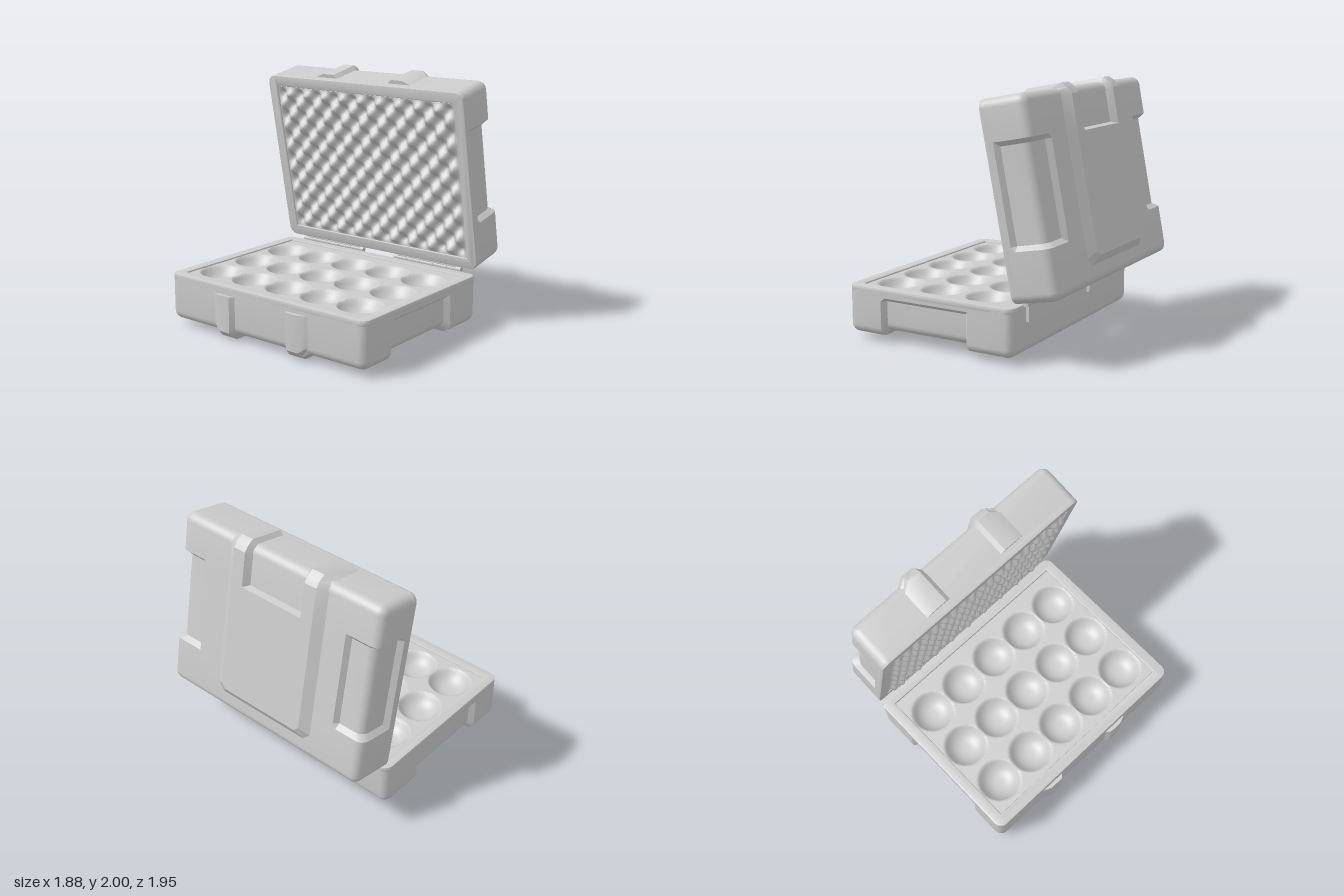
import * as THREE from 'three';
import { toCreasedNormals } from 'three/addons/utils/BufferGeometryUtils.js';

const LEN = 1.47, HALF = 0.975, DEEP = 0.38, R = 0.07; // hinge-to-front, half width, depth, edge radius
const material = new THREE.MeshStandardMaterial({ color: 0xcccccc });

function add(parent, name, geometry) {
  const mesh = new THREE.Mesh(geometry, material);
  mesh.name = name;
  parent.add(mesh);
  return mesh;
}

// Skins closed rings of [x, y, z], caps both ends and turns the faces outward.
function loft(rings, closed = true, crease = 0.5) {
  const n = rings[0].length, tris = [];
  const last = rings.length - 1;
  for (let i = 0; i < last; i++) {
    for (let j = 0; j < (closed ? n : n - 1); j++) {
      const k = (j + 1) % n;
      const a = rings[i][j], b = rings[i][k], c = rings[i + 1][k], d = rings[i + 1][j];
      tris.push([a, b, c], [a, c, d]);
    }
  }
  for (let j = 1; j < n - 1; j++) {
    tris.push([rings[0][0], rings[0][j + 1], rings[0][j]]);
    tris.push([rings[last][0], rings[last][j], rings[last][j + 1]]);
  }
  let volume = 0;
  for (const [a, b, c] of tris) {
    volume += a[0] * (b[1] * c[2] - b[2] * c[1]) + a[1] * (b[2] * c[0] - b[0] * c[2]) + a[2] * (b[0] * c[1] - b[1] * c[0]);
  }
  if (volume < 0) tris.forEach((t) => t.reverse());
  const geometry = new THREE.BufferGeometry();
  geometry.setAttribute('position', new THREE.Float32BufferAttribute(tris.flat(2), 3));
  return toCreasedNormals(geometry, crease);
}

// One shell cross-section: e is the inset at rounded ends, d the depth of the side recess.
function shellRing(u, e, d) {
  const w = HALF - e, v = DEEP - e, r = R - e;
  const half = [[w, 0.03], [w, 0.07], [w - d, 0.1]];
  for (let i = 0; i <= 6; i++) {
    const t = (i / 6) * Math.PI / 2;
    half.push([w - d - r + r * Math.cos(t), v - d - r + r * Math.sin(t)]);
  }
  half.push([0.72, v - d], [0.69, v]);
  const mirrored = half.map(([z, y]) => [-z, y]).reverse();
  return [...half, ...mirrored].map(([z, y]) => [-u, -y, z]);
}

function shellGeometry() {
  const ends = [];
  for (let i = 0; i <= 6; i++) {
    const t = (i / 6) * Math.PI / 2;
    ends.push([R - R * Math.cos(t), R - R * Math.sin(t)]);
  }
  const rings = ends.map(([u, e]) => shellRing(u, e, 0));
  rings.push(shellRing(0.38, 0, 0), shellRing(0.415, 0, 0.04), shellRing(1.125, 0, 0.04), shellRing(1.16, 0, 0));
  ends.reverse().forEach(([u, e]) => rings.push(shellRing(LEN - u, e, 0)));
  return loft(rings, false);
}

// Flat frame around the opening
function rimGeometry() {
  const shape = new THREE.Shape();
  shape.absarc(-R, HALF - R, R, 0, Math.PI / 2);
  shape.absarc(-LEN + R, HALF - R, R, Math.PI / 2, Math.PI);
  shape.absarc(-LEN + R, -HALF + R, R, Math.PI, Math.PI * 1.5);
  shape.absarc(-R, -HALF + R, R, Math.PI * 1.5, Math.PI * 2);
  const hole = new THREE.Path();
  hole.moveTo(-0.09, -0.885).lineTo(-1.38, -0.885).lineTo(-1.38, 0.885).lineTo(-0.09, 0.885).closePath();
  shape.holes.push(hole);
  const geometry = new THREE.ExtrudeGeometry(shape, {
    depth: 0.034, bevelThickness: 0.008, bevelSize: 0.008, bevelOffset: -0.008, bevelSegments: 2, curveSegments: 6,
  });
  geometry.rotateX(-Math.PI / 2).translate(0, -0.042, 0);
  return toCreasedNormals(geometry, 0.5);
}

// Horizontal sheet filling the opening, with its height set by a rule
function sheetGeometry(nx, nz, height) {
  const geometry = new THREE.PlaneGeometry(1.286, 1.766, nx, nz);
  geometry.rotateX(-Math.PI / 2).translate(-0.735, 0, 0);
  const p = geometry.attributes.position;
  for (let i = 0; i < p.count; i++) p.setY(i, height(p.getX(i), p.getZ(i)));
  geometry.computeVertexNormals();
  return geometry;
}

// Three by five round bowls
function bowlHeight(x, z) {
  const col = THREE.MathUtils.clamp(Math.round((x + 0.76) / 0.405), -1, 1);
  const row = THREE.MathUtils.clamp(Math.round(z / 0.35), -2, 2);
  const d = Math.hypot(x + 0.76 - col * 0.405, z - row * 0.35) / 0.172;
  return -0.012 - (d < 1 ? 0.1 * (1 - d ** 3) : 0);
}

// Staggered pointed foam bumps
function foamHeight(x, z) {
  const edge = Math.min(0.643 - Math.abs(x + 0.735), 0.883 - Math.abs(z));
  const fade = Math.min(1, edge / 0.05);
  return -0.01 + fade * (0.004 + 0.046 * Math.cos(Math.PI * (x + 0.735) / 0.098) * Math.cos(Math.PI * z / 0.093));
}

// Raised panel with bevelled sides and clipped corners
function panelGeometry(zc) {
  const outline = (u0, u1, hz, c, v) => [
    [u1, -hz], [u0 + c, -hz], [u0, -hz + c], [u0, hz - c], [u0 + c, hz], [u1, hz],
  ].map(([u, z]) => [-u, -v, z + zc]);
  return loft([outline(0.14, 1.15, 0.485, 0.06, 0.375), outline(0.21, 1.13, 0.4, 0.04, 0.43)], true, 0.3);
}

// Strap running on from the panel, over the front edge and down the front wall
function strapGeometry(side, zc) {
  const outer = [[1.13, 0.43], [1.41, 0.43], [1.46, 0.405], [1.5, 0.36], [1.5, 0.07]];
  const inner = [[1.13, 0.375], [1.39, 0.375], [1.445, 0.355], [1.465, 0.3], [1.465, 0.07]];
  const rings = outer.map(([u, v], i) => {
    const [bu, bv] = inner[i];
    return [[bu, bv, 0.25], [u, v, 0.29], [u, v, 0.4], [bu, bv, 0.485]].map(([a, b, z]) => [-a, -b, side * z + zc]);
  });
  return loft(rings, true, 0.45);
}

// Half of the case: hinge edge at the origin, opening facing up
function createHalf(name, zc) {
  const half = new THREE.Group();
  half.name = name;
  add(half, 'shell', shellGeometry());
  add(half, 'rim', rimGeometry());
  add(half, 'raisedPanel', panelGeometry(zc));
  for (const side of [-1, 1]) {
    add(half, 'frontStrap', strapGeometry(side, zc));
    add(half, 'hingeLeaf', new THREE.BoxGeometry(0.025, 0.135, 0.575)).position.set(0.0125, -0.0675, side * 0.4875);
  }
  return half;
}

export function createModel() {
  const model = new THREE.Group();
  model.name = 'hingedCase';

  const base = createHalf('base', -0.02);
  base.position.set(0.56, 0.43, 0);
  add(base, 'bowlTray', sheetGeometry(96, 132, bowlHeight));
  model.add(base);

  // Lid: the same half turned over and swung open about the hinge
  const lid = createHalf('lid', 0.02);
  const s = Math.sin(0.193), c = Math.cos(0.193);
  lid.quaternion.setFromRotationMatrix(new THREE.Matrix4().makeBasis(
    new THREE.Vector3(s, -c, 0), new THREE.Vector3(-c, -s, 0), new THREE.Vector3(0, 0, -1)));
  lid.position.set(0.56, 0.46, 0);
  add(lid, 'foamLining', sheetGeometry(80, 114, foamHeight));
  model.add(lid);

  // Hinge knuckles
  for (const side of [-1, 1]) {
    for (let i = 0; i < 5; i++) {
      const knuckle = new THREE.CylinderGeometry(0.022, 0.022, 0.128, 12).rotateX(Math.PI / 2);
      add(model, 'hingeKnuckle', knuckle).position.set(0.578, 0.438, side * (0.226 + i * 0.132));
    }
    const pin = new THREE.CylinderGeometry(0.015, 0.015, 0.65, 10).rotateX(Math.PI / 2);
    add(model, 'hingePin', pin).position.set(0.578, 0.438, side * 0.49);
  }
  return model;
}
